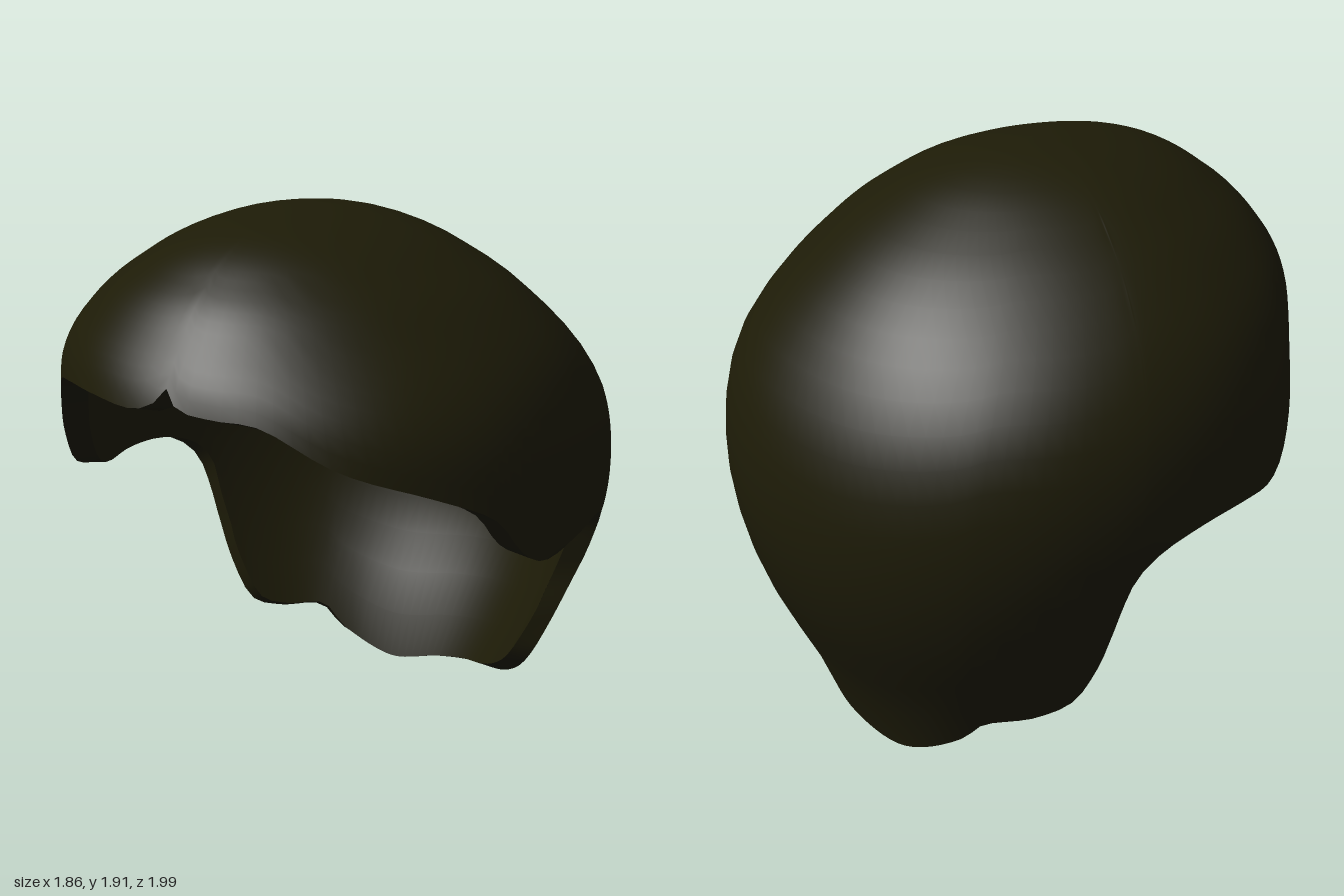
import * as THREE from 'three';

const TOP = 1.91;
const COLS = 128, ROWS = 24;

// Head sections: height, half width, front z, back z
const SECTIONS = [
  [1.91, 0, 0.1, 0.1], [1.87, 0.28, 0.5, -0.18], [1.75, 0.53, 0.75, -0.44],
  [1.6, 0.72, 0.9, -0.655], [1.43, 0.85, 1, -0.815], [1.2, 0.92, 1, -0.945],
  [0.95, 0.925, 1, -0.995], [0.7, 0.86, 1, -0.98], [0.45, 0.76, 1, -0.9],
  [0.2, 0.65, 1, -0.775], [0, 0.54, 1, -0.71],
];

// Hairline: degrees around the head (0 = front, 90 = left side), height
const HAIRLINE = [
  [0, 1.49], [3, 1.44], [10, 1.42], [20, 1.405], [33, 1.285], [48, 1.19], [60, 1.09],
  [67, 0.96], [75, 0.89], [90, 0.91], [99, 0.92], [107, 0.87], [111, 0.8], [113, 0.7],
  [115, 0.6], [116, 0.45], [117.5, 0.3], [123, 0.2], [131, 0.13], [140, 0.09], [150, 0.07],
  [165, 0.04], [189, 0.005], [209, 0.1], [215, 0.18], [229, 0.2], [238, 0.25], [242, 0.4],
  [243, 0.55], [243.5, 0.7], [245, 0.8], [249, 0.87], [258, 0.92], [269, 0.93], [280, 0.92],
  [286, 0.96], [293, 1.1], [302, 1.25], [312, 1.37], [325, 1.415], [340, 1.425], [352, 1.42],
  [357, 1.44], [360, 1.49],
];

const depth = SECTIONS.map(([y]) => Math.sqrt(TOP - y));
const profile = new THREE.CatmullRomCurve3(
  SECTIONS.map(([, w, f, b]) => new THREE.Vector3(w, f, b)), false, 'catmullrom');

// Extra fullness of the diagonals, [at the crown, below it], by side
const FULLNESS = {
  frontLeft: [-0.02, 0.055], frontRight: [0, -0.055],
  backLeft: [-0.03, 0.035], backRight: [-0.03, 0.015],
};

// Point on the outer surface at an angle and height
function surfacePoint(angle, y) {
  const s = Math.sqrt(Math.max(0, TOP - y));
  let i = 0;
  while (i < depth.length - 2 && s > depth[i + 1]) i++;
  const k = Math.min(1, (s - depth[i]) / (depth[i + 1] - depth[i]));
  const p = profile.getPoint((i + k) / (depth.length - 1));
  const zc = 0.1 * THREE.MathUtils.clamp((y - 1.2) / 0.71, 0, 1);
  const sin = Math.sin(angle), cos = Math.cos(angle);
  const [crown, below] = FULLNESS[(cos > 0 ? 'front' : 'back') + (sin > 0 ? 'Left' : 'Right')];
  const fullness = THREE.MathUtils.lerp(below, crown, THREE.MathUtils.smoothstep(y, 1.25, 1.65));
  const swell = 1 + fullness * Math.sin(2 * angle) ** 2;
  const reach = cos > 0 ? p.y - zc : zc - p.z;
  return new THREE.Vector3(p.x * sin * swell, y, zc + reach * cos * swell);
}

// Closed band of quads through rows of points
function skin(rows, flip) {
  const n = rows[0].length, index = [];
  for (let r = 0; r < rows.length - 1; r++) {
    for (let c = 0; c < n; c++) {
      const a = r * n + c, d = r * n + (c + 1) % n, b = a + n, e = d + n;
      if (flip) index.push(a, e, b, a, d, e);
      else index.push(a, b, e, a, e, d);
    }
  }
  const g = new THREE.BufferGeometry().setFromPoints(rows.flat());
  g.setIndex(index);
  g.computeVertexNormals();
  return g;
}

export function createModel() {
  const group = new THREE.Group();
  group.name = 'hair';
  const hair = new THREE.MeshStandardMaterial({ color: 0x1d1b07, side: THREE.DoubleSide });
  hair.name = 'dark olive brown';

  const rim = new THREE.CatmullRomCurve3(
    HAIRLINE.map(([a, y]) => new THREE.Vector3(THREE.MathUtils.degToRad(a), y, 0)))
    .getSpacedPoints(COLS).slice(0, COLS);

  const outer = [];
  for (let r = 0; r <= ROWS; r++) {
    const t = r / ROWS;
    outer.push(rim.map((p) => surfacePoint(p.x, TOP - (TOP - p.y) * t * t)));
  }
  const outerSkin = skin(outer, false);

  // The inside follows the outside, thinning towards the nape
  const normals = outerSkin.getAttribute('normal');
  const inner = outer.map((row, r) => row.map((p, c) => {
    const n = new THREE.Vector3(0, 1, 0);
    if (r > 0) n.fromBufferAttribute(normals, r * COLS + c);
    const thickness = 0.065 + 0.025 * THREE.MathUtils.smoothstep(p.y, 0.4, 1);
    return p.clone().addScaledVector(n, -thickness);
  }));

  const add = (name, geometry) => {
    const mesh = new THREE.Mesh(geometry, hair);
    mesh.name = name;
    group.add(mesh);
  };
  add('outerHair', outerSkin);
  add('innerHair', skin(inner, true));
  add('hairlineEdge', skin([outer[ROWS], inner[ROWS]], false));
  return group;
}
